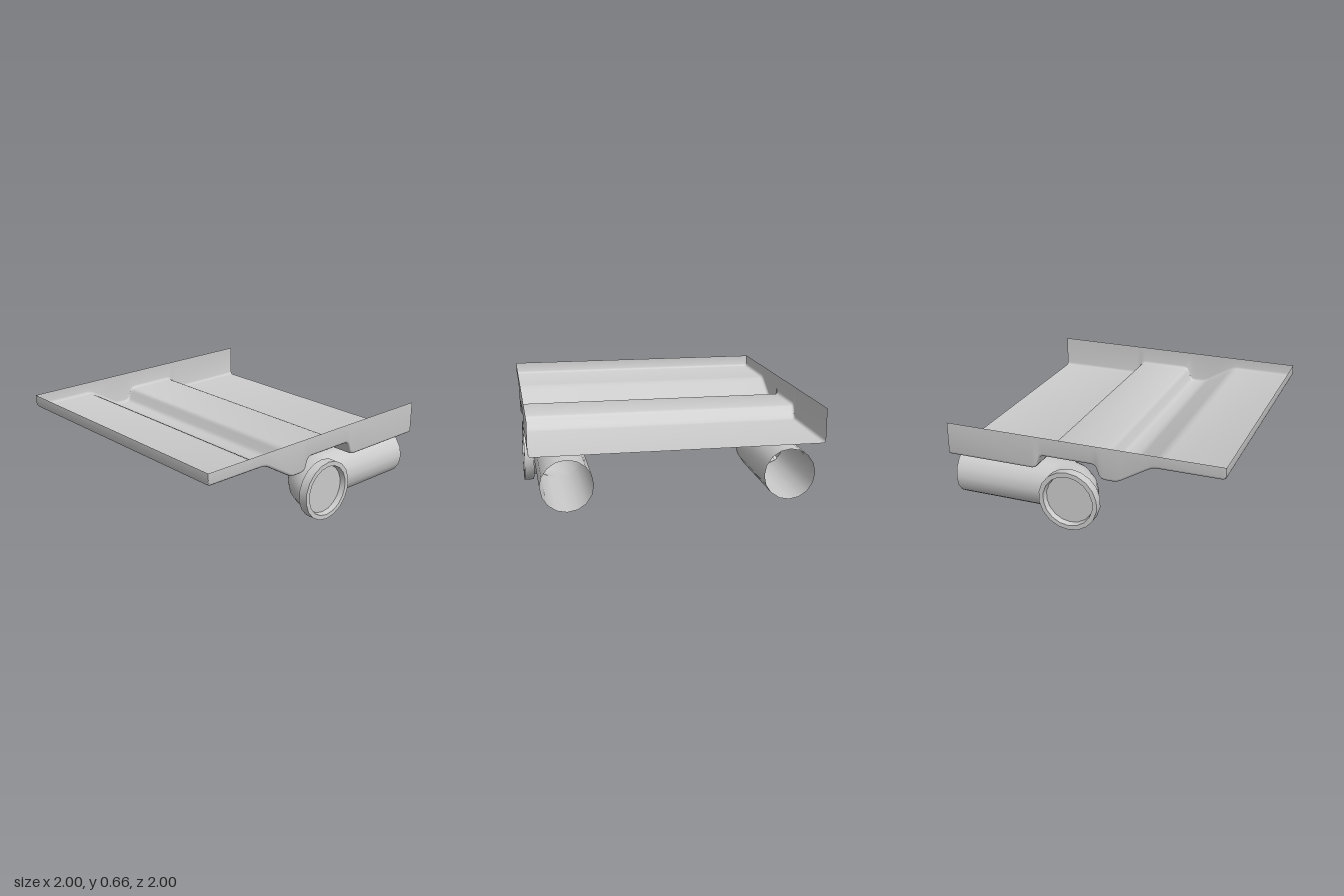
import * as THREE from 'three';
import { toCreasedNormals } from 'three/addons/utils/BufferGeometryUtils.js';

const grey = new THREE.MeshStandardMaterial({ color: 0xcccccc, side: THREE.DoubleSide });

// Skin a list of equally long cross-sections with quads
function loft(sections, crease) {
  const n = sections[0].length;
  const index = [];
  for (let i = 0; i < sections.length - 1; i++) {
    for (let j = 0; j < n - 1; j++) {
      const a = i * n + j, b = a + n;
      index.push(a, a + 1, b, b, a + 1, b + 1);
    }
  }
  const g = new THREE.BufferGeometry();
  g.setAttribute('position', new THREE.Float32BufferAttribute(sections.flat(2), 3));
  g.setIndex(index);
  return toCreasedNormals(g, crease);
}

function part(name, geometry) {
  const mesh = new THREE.Mesh(geometry, grey);
  mesh.name = name;
  return mesh;
}

// Pressed sheet: stepped floor with upright walls on three sides
function buildTray() {
  const top = 0.67, r = 0.022;
  const floor = [
    [-1, top], [-1, 0.6], [-0.993, 0.585], [-0.978, 0.578],
    [-0.54, 0.578], [-0.505, 0.573], [-0.47, 0.556],
    [-0.29, 0.448], [-0.26, 0.434], [-0.23, 0.43], [-0.175, 0.43], [-0.15, 0.436], [-0.135, 0.455],
    [-0.118, 0.503], [-0.105, 0.523], [-0.08, 0.531],
    [0.27, 0.531], [0.295, 0.524], [0.308, 0.505],
    [0.325, 0.455], [0.338, 0.437], [0.36, 0.43], [1, 0.43],
  ];
  const sections = floor.map(([x, y]) => {
    const half = [[1, top]];
    for (let k = 0; k <= 3; k++) {
      const t = (k / 3) * Math.PI / 2;
      half.push([1 - r + r * Math.cos(t), Math.min(top, y + r - r * Math.sin(t))]);
    }
    const left = half.map(([z, h]) => [x, h, -z]);
    const right = half.map(([z, h]) => [x, h, z]).reverse();
    return [...left, ...right];
  });
  return part('tray', loft(sections, 0.7));
}

// Open pipe along x with a tight elbow turning outwards to a collar
function buildPipe(side) {
  const group = new THREE.Group();
  group.name = side > 0 ? 'frontPipe' : 'backPipe';
  const y = 0.223, radius = 0.178, bend = 0.18, bx = 0.28, bz = 0.935, sides = 16;

  const ring = (cx, cz, t) => {
    const points = [];
    for (let k = 0; k <= sides; k++) {
      const a = (k / sides) * Math.PI * 2, c = radius * Math.cos(a);
      points.push([cx - c * Math.sin(t), y + radius * Math.sin(a), side * (cz - c * Math.cos(t))]);
    }
    return points;
  };
  const sections = [ring(1, bz - bend, 0)];
  for (let k = 0; k <= 10; k++) {
    const t = (k / 10) * Math.PI / 2;
    sections.push(ring(bx - bend * Math.sin(t), bz - bend * Math.cos(t), t));
  }
  group.add(part('elbowPipe', loft(sections, 0.9)));

  // Collar with a recessed end plate
  const profile = [[0.178, 0.932], [0.217, 0.932], [0.217, 1], [0.184, 1], [0.176, 0.96], [0, 0.96]];
  const lathe = new THREE.LatheGeometry(profile.map(p => new THREE.Vector2(...p)), 18);
  const collar = part('collar', toCreasedNormals(lathe, 0.6));
  collar.rotation.x = side * Math.PI / 2;
  collar.position.set(bx - bend, y, 0);
  group.add(collar);
  return group;
}

export function createModel() {
  const model = new THREE.Group();
  model.name = 'trayOnPipes';
  model.add(buildTray(), buildPipe(1), buildPipe(-1));
  return model;
}
